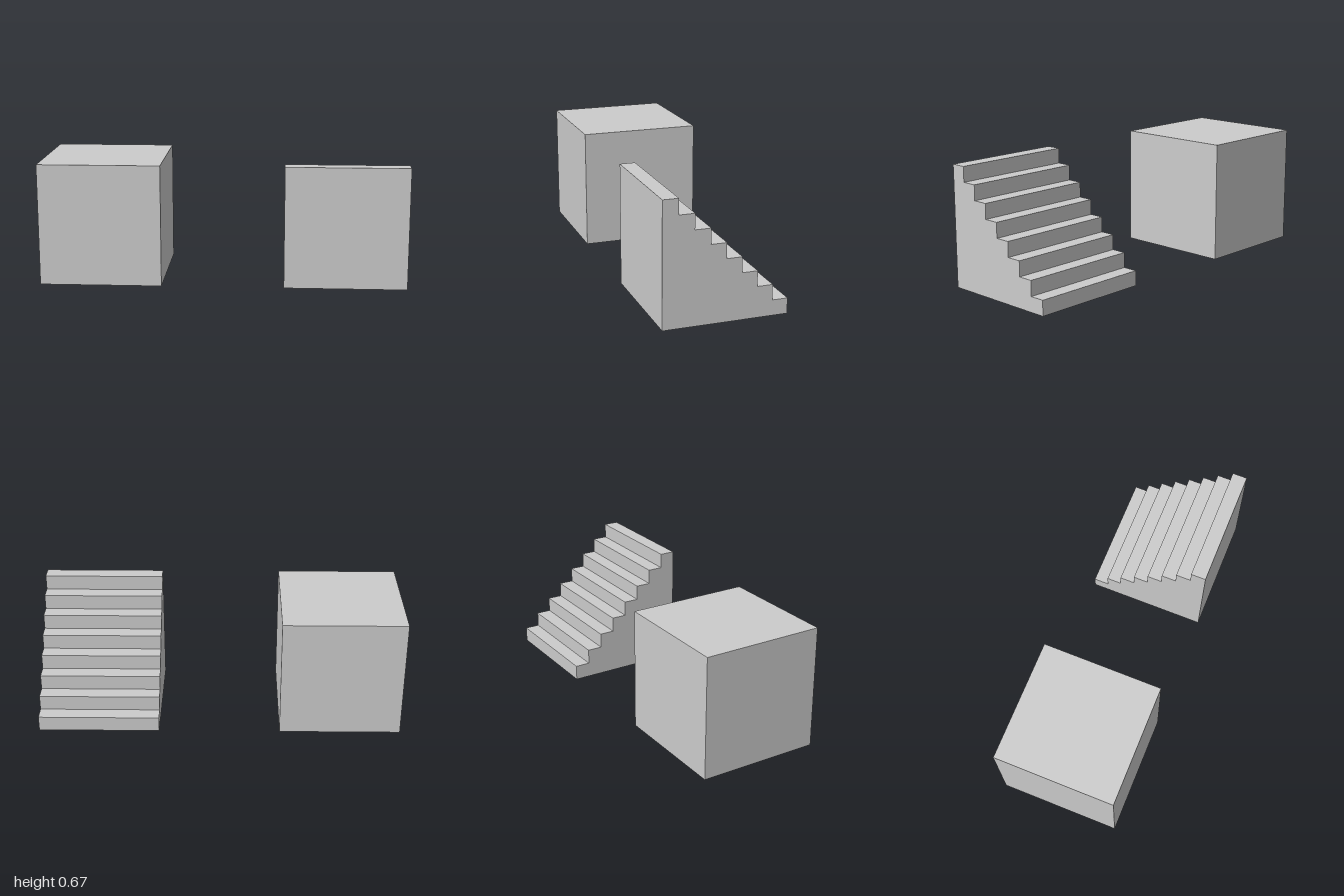
import * as THREE from 'three';

const SIZE = 2 / 3;
const HALF = SIZE / 2;
const STEPS = 8;
const STEP = SIZE / STEPS;

// Side profile of the stairs (shape x becomes z), rising towards the front
function stairProfile() {
  const shape = new THREE.Shape();
  shape.moveTo(-HALF, 0);
  shape.lineTo(HALF, 0);
  for (let i = STEPS; i >= 1; i--) {
    shape.lineTo(-HALF + i * STEP, i * STEP);
    shape.lineTo(-HALF + (i - 1) * STEP, i * STEP);
  }
  shape.closePath();
  return shape;
}

export function createModel() {
  const group = new THREE.Group();
  group.name = 'blocks';
  const material = new THREE.MeshStandardMaterial({ color: 0xcccccc, flatShading: true });

  // Plain cube on the -x side
  const cube = new THREE.Mesh(new THREE.BoxGeometry(SIZE, SIZE, SIZE), material);
  cube.name = 'cube';
  cube.position.set(-SIZE, HALF, 0);
  group.add(cube);

  // Solid staircase on the +x side
  const geometry = new THREE.ExtrudeGeometry(stairProfile(), { depth: SIZE, bevelEnabled: false });
  geometry.translate(0, 0, -HALF);
  geometry.rotateY(-Math.PI / 2);
  const stairs = new THREE.Mesh(geometry, material);
  stairs.name = 'stairs';
  stairs.position.x = SIZE;
  group.add(stairs);

  return group;
}
